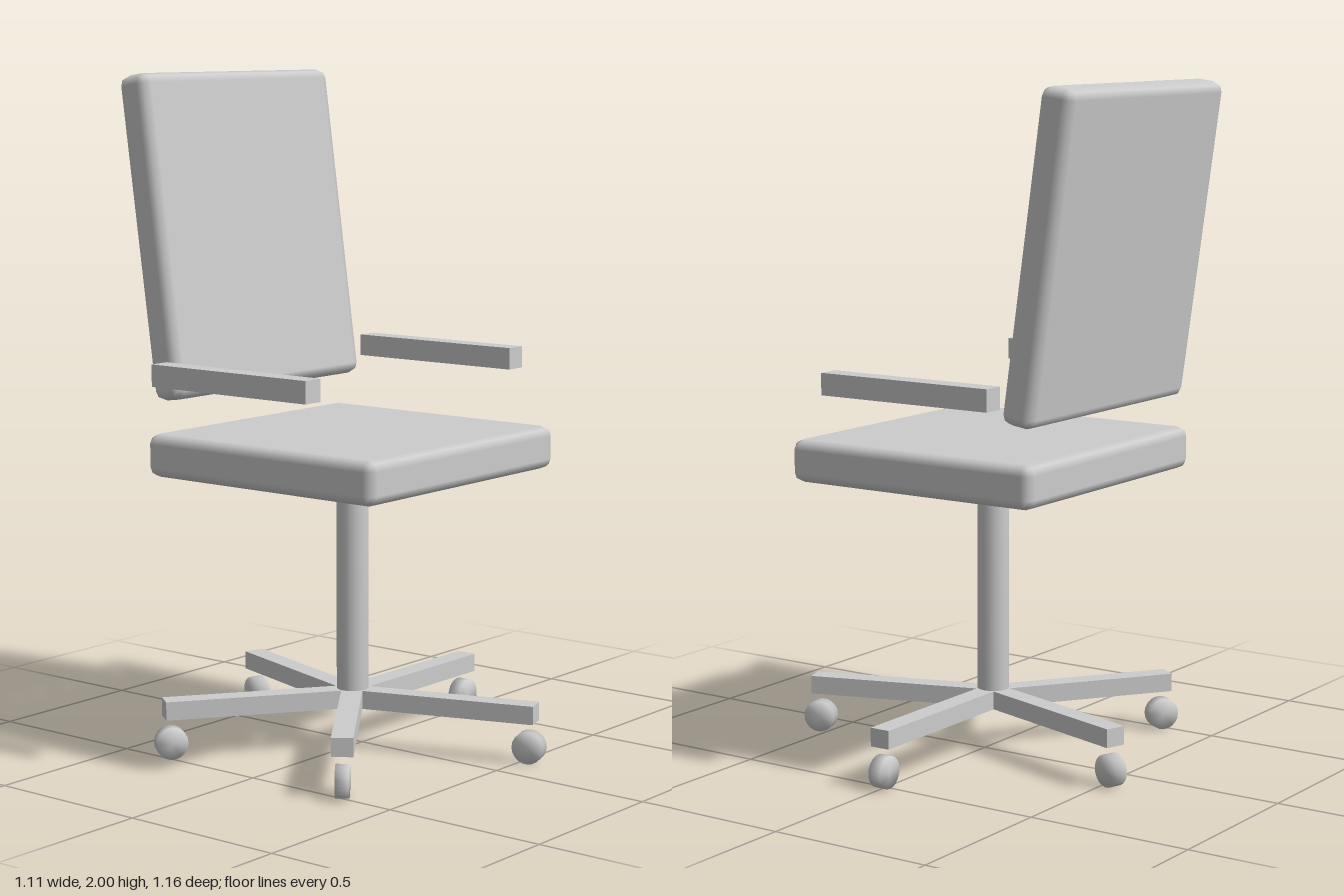
import * as THREE from 'three';
import { mergeVertices } from 'three/addons/utils/BufferGeometryUtils.js';
import { RoundedBoxGeometry } from 'three/addons/geometries/RoundedBoxGeometry.js';

const CENTRE_X = -0.045; // the column stands slightly off the middle

// Cylinder with normals blended over its rims
function softCylinder(radius, height, sides) {
  const g = new THREE.CylinderGeometry(radius, radius, height, sides);
  g.deleteAttribute('uv');
  g.deleteAttribute('normal');
  const merged = mergeVertices(g);
  merged.computeVertexNormals();
  return merged;
}

export function createModel() {
  const model = new THREE.Group();
  model.name = 'officeChair';
  const grey = new THREE.MeshStandardMaterial({ color: 0xcccccc });
  grey.name = 'light grey';

  const chair = new THREE.Group();
  chair.name = 'chair';
  chair.position.x = CENTRE_X;
  model.add(chair);

  const add = (parent, name, geometry, x, y, z) => {
    const mesh = new THREE.Mesh(geometry, grey);
    mesh.name = name;
    mesh.position.set(x, y, z);
    parent.add(mesh);
    return mesh;
  };

  // Cushions
  add(chair, 'seat', new RoundedBoxGeometry(0.88, 0.128, 0.84, 1, 0.03), 0, 0.893, 0);
  const back = add(chair, 'backrest', new RoundedBoxGeometry(0.84, 0.95, 0.107, 1, 0.03), 0, 1.527, -0.422);
  back.rotation.x = -0.14;

  // Armrests
  for (const side of [-1, 1]) {
    const name = side > 0 ? 'leftArmrest' : 'rightArmrest';
    add(chair, name, new THREE.BoxGeometry(0.065, 0.065, 0.575), side * 0.478, 1.143, -0.04);
  }

  // Column
  add(chair, 'column', softCylinder(0.0475, 0.7, 24), 0, 0.5, 0);

  // Five-legged base with a wheel under each tip
  const legGeometry = new THREE.BoxGeometry(0.573, 0.055, 0.063);
  const wheelGeometry = softCylinder(0.048, 0.04, 20).rotateX(Math.PI / 2);
  for (let i = 0; i < 5; i++) {
    const spoke = new THREE.Group();
    spoke.name = 'baseSpoke' + (i + 1);
    spoke.rotation.y = (i * Math.PI * 2) / 5;
    add(spoke, 'leg', legGeometry, 0.2865, 0.15, 0);
    add(spoke, 'wheel', wheelGeometry, 0.553, 0.048, 0);
    chair.add(spoke);
  }
  return model;
}
